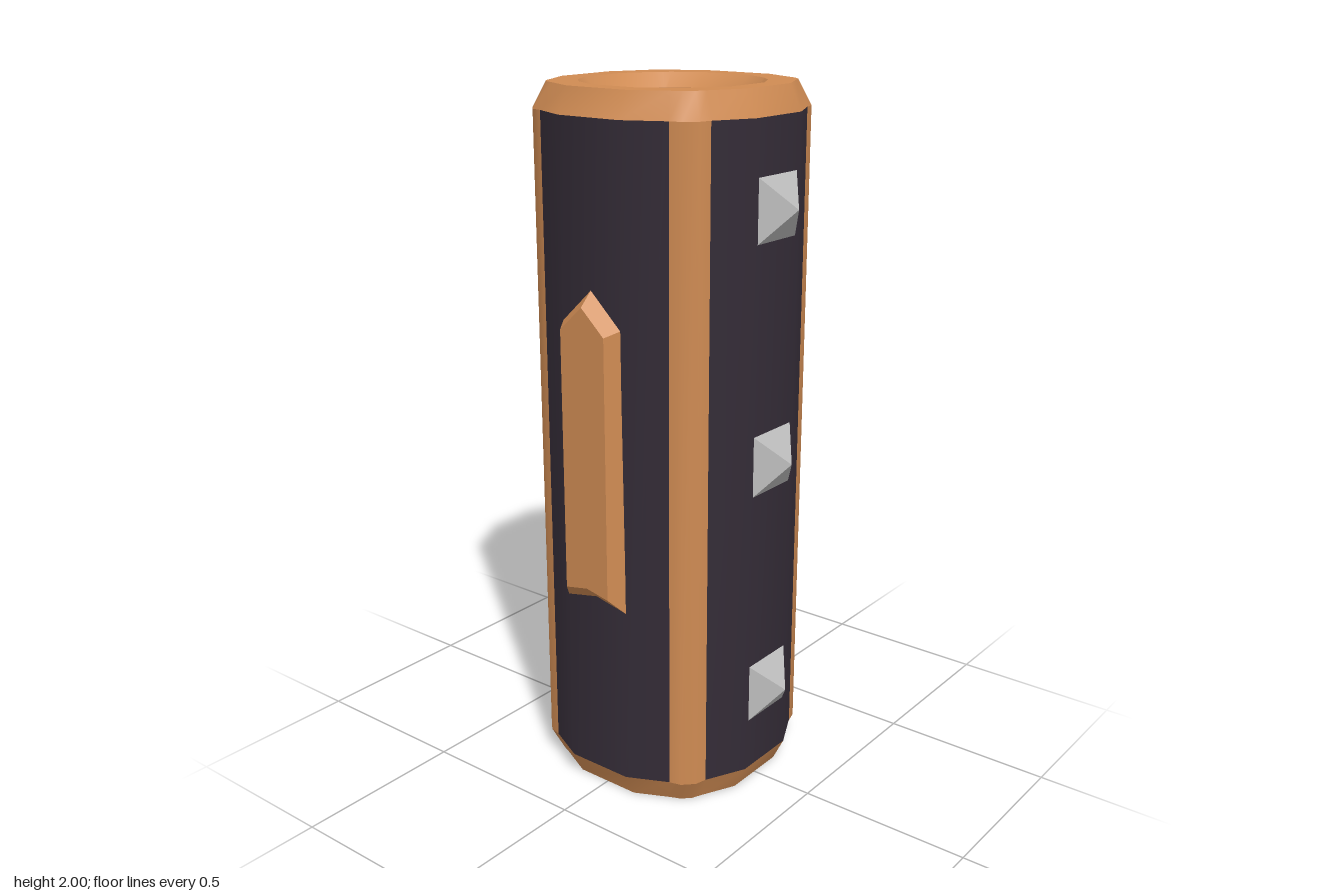
import * as THREE from 'three';
import { toCreasedNormals } from 'three/addons/utils/BufferGeometryUtils.js';

const copper = new THREE.MeshStandardMaterial({ color: 0xcf8b53 });
copper.name = 'copper';
const grip = new THREE.MeshStandardMaterial({ color: 0x342c37 });
grip.name = 'dark grip';
const steel = new THREE.MeshStandardMaterial({ color: 0xbcbcbc });
steel.name = 'steel';

// Repeats one quadrant of [x, z] points four times around the y axis
function around(quadrant) {
  const points = [];
  for (let q = 0; q < 4; q++) {
    for (let [x, z] of quadrant) {
      for (let i = 0; i < q; i++) [x, z] = [z, -x];
      points.push([x, z]);
    }
  }
  return points;
}

// Skins consecutive rings of Vector3; keep(i) selects which sides are made
function loft(rings, keep = () => true, crease = 0.55) {
  const positions = [];
  const triangle = (a, b, c) => {
    if (new THREE.Triangle(a, b, c).getArea() < 1e-7) return;
    for (const p of [a, b, c]) positions.push(p.x, p.y, p.z);
  };
  for (let r = 0; r < rings.length - 1; r++) {
    const lower = rings[r], upper = rings[r + 1], n = lower.length;
    for (let i = 0; i < n; i++) {
      if (!keep(i)) continue;
      const j = (i + 1) % n;
      triangle(lower[i], lower[j], upper[j]);
      triangle(lower[i], upper[j], upper[i]);
    }
  }
  const geometry = new THREE.BufferGeometry();
  geometry.setAttribute('position', new THREE.Float32BufferAttribute(positions, 3));
  return toCreasedNormals(geometry, crease);
}

export function createModel() {
  const model = new THREE.Group();
  model.name = 'hiltSleeve';
  const add = (name, geometry, material) => {
    const mesh = new THREE.Mesh(geometry, material);
    mesh.name = name;
    model.add(mesh);
    return mesh;
  };

  // Cross-sections: ribbed outside, lip of the opening and bore
  const outer = around([[0.1, 0.345], [0.215, 0.289], [0.249, 0.28], [0.28, 0.249], [0.289, 0.215], [0.345, 0.1]]);
  const end = around([[0.1, 0.31], [0.198, 0.262], [0.226, 0.25], [0.25, 0.226], [0.262, 0.198], [0.31, 0.1]]);
  const lip = around([[0.075, 0.245], [0.16, 0.197], [0.175, 0.18], [0.18, 0.175], [0.197, 0.16], [0.245, 0.075]]);
  const bore = around([[0.065, 0.205], [0.144, 0.16], [0.15, 0.155], [0.155, 0.15], [0.16, 0.144], [0.205, 0.065]]);
  const at = (section, y) => section.map(([x, z]) => new THREE.Vector3(x, y, z));

  // Body: copper ribs on the diagonals, dark panels between them
  const isRib = (i) => i % 6 >= 1 && i % 6 <= 3;
  const body = [at(outer, 0.07), at(outer, 1.93)];
  add('cornerRibs', loft(body, isRib), copper);
  add('gripPanels', loft(body, (i) => !isRib(i)), grip);

  // Chamfered end collars with a short throat
  add('topCollar', loft([at(outer, 1.93), at(end, 2), at(lip, 2), at(bore, 1.96), at(bore, 1.9)]), copper);
  add('bottomCollar', loft([at(bore, 0.1), at(bore, 0.04), at(lip, 0), at(end, 0), at(outer, 0.07)]), copper);
  add('boreWall', loft([at(bore, 1.9), at(bore, 0.1)]), grip);

  // Pointed raised plates on both sides, given as [z, y]
  const plateBase = [[0.105, 0.59], [0, 0.612], [-0.105, 0.59], [-0.1, 1.395], [0, 1.49], [0.1, 1.395]];
  const plateFace = [[0.075, 0.637], [0, 0.652], [-0.075, 0.637], [-0.075, 1.38], [0, 1.45], [0.075, 1.38]];
  const onSide = (loop, x) => loop.map(([z, y]) => new THREE.Vector3(x, y, z));
  const plateCentre = onSide(plateFace.map(() => [0, 1]), 0.385);
  const plate = loft([onSide(plateBase, 0.343), onSide(plateFace, 0.385), plateCentre], undefined, 0.2);
  add('leftPlate', plate, copper);
  add('rightPlate', plate, copper).rotation.y = Math.PI;

  // Pyramid studs in a row on the front and back
  const stud = new THREE.ConeGeometry(0.09 * Math.SQRT2, 0.07, 4, 1).toNonIndexed();
  stud.computeVertexNormals();
  stud.rotateY(Math.PI / 4).rotateX(Math.PI / 2).translate(0, 0, 0.377);
  for (const [side, turn] of [['front', 0], ['back', Math.PI]]) {
    for (const y of [0.31, 1.0, 1.695]) {
      const mesh = add(side + 'Stud', stud, steel);
      mesh.position.y = y;
      mesh.rotation.y = turn;
    }
  }
  return model;
}
